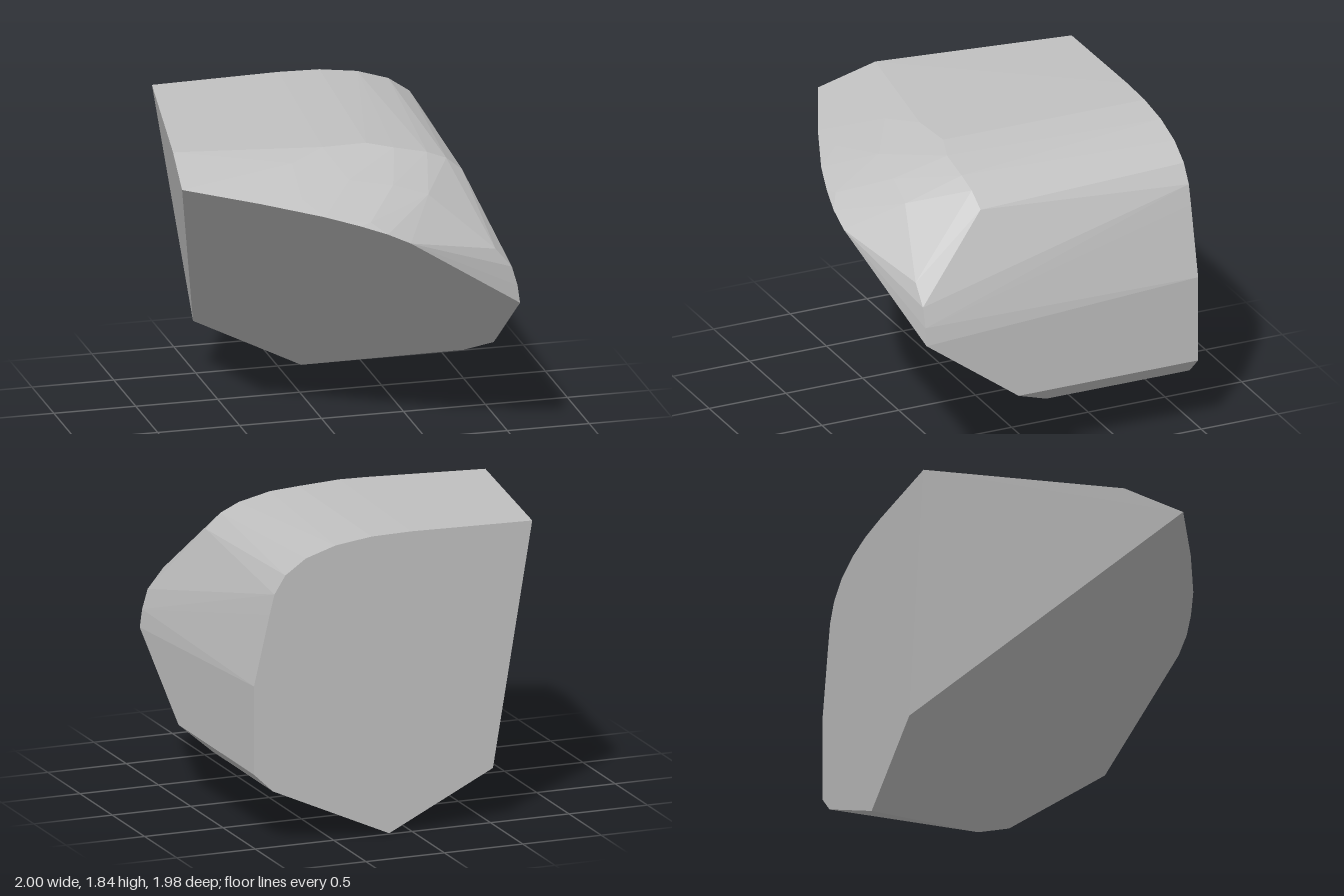
import * as THREE from 'three';
import { ConvexGeometry } from 'three/addons/geometries/ConvexGeometry.js';

// Flat break surfaces of the fragment: slanted underside and back wall
const undersideZ = (x, y) => -1.087 + 0.663 * x + 1.364 * y;
const backZ = (x) => -0.99 + 0.0055 * (x + 0.77);

export function createModel() {
  const group = new THREE.Group();
  group.name = 'rockFragment';
  const stone = new THREE.MeshStandardMaterial({ color: 0xc0c0c0, flatShading: true });
  stone.name = 'grey stone';

  // Outline of the slanted underside (x, y)
  const underside = [
    [-1, 1.69], [-0.57, 1.63], [-0.22, 1.565], [-0.02, 1.51], [0.14, 1.455], [0.28, 1.387],
    [1, 0.89], [1, 0.45], [0.88, 0.335],
  ].map(([x, y]) => new THREE.Vector3(x, y, undersideZ(x, y)));

  // Outline of the back wall (x, y)
  const back = [
    [0.14, 0], [-0.52, 0.33], [-0.77, 1.82], [0, 1.835], [0.25, 1.83], [0.48, 1.8], [0.67, 1.74],
    [0.8, 1.65], [0.87, 1.54], [0.9, 1.42], [1, 0.99], [1, 0.45], [0.88, 0.335],
  ].map(([x, y]) => new THREE.Vector3(x, y, backZ(x)));

  // Ridge where the top turns down to the front
  const ridge = [
    [-0.96, 1.805, 0.2], [-0.08, 1.802, 0.325], [0.19, 1.797, 0.3], [0.35, 1.77, 0.35],
    [0.55, 1.725, 0.35], [0.67, 1.675, 0.34], [0.77, 1.59, 0.33],
  ];

  // Worn nose and right front corner
  const nose = [
    [-0.3, 1.76, 0.45], [-0.32, 1.635, 0.76], [0, 1.69, 0.63], [0.26, 1.645, 0.66],
    [0.47, 1.575, 0.68], [0.05, 1.52, 0.935],
    [0.85, 1.24, 0.79], [0.95, 1.12, 0.79], [0.985, 1.0, 0.79],
  ];

  const points = [...underside, ...back, ...[...ridge, ...nose].map((p) => new THREE.Vector3(...p))];
  const rock = new THREE.Mesh(new ConvexGeometry(points), stone);
  rock.name = 'rock';
  group.add(rock);
  return group;
}
